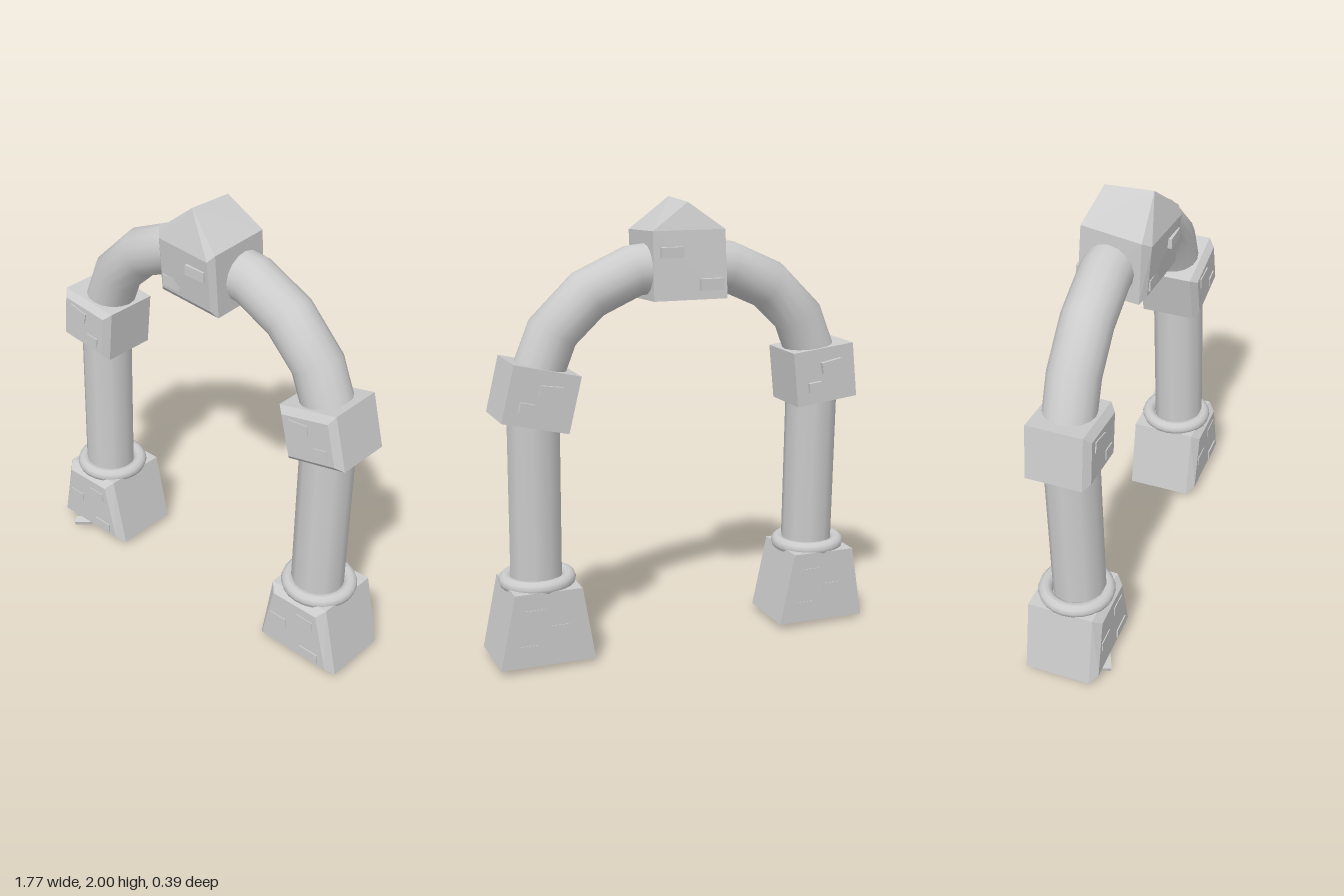
import * as THREE from 'three';
import { ConvexGeometry } from 'three/addons/geometries/ConvexGeometry.js';

const material = new THREE.MeshStandardMaterial({ color: 0xcccccc, side: THREE.DoubleSide });

function add(parent, name, geometry, x = 0, y = 0, z = 0) {
  const mesh = new THREE.Mesh(geometry, material);
  mesh.name = name;
  mesh.position.set(x, y, z);
  parent.add(mesh);
  return mesh;
}

// Carved block: symmetrical trapezoid with a flat back and a bevelled front
function blockGeometry(bottom, top, height, back, front, inset, depth) {
  const h = height / 2;
  const points = [];
  for (const sx of [-1, 1]) for (const [half, sy] of [[bottom, -1], [top, 1]]) {
    points.push(new THREE.Vector3(sx * half, sy * h, back));
    points.push(new THREE.Vector3(sx * half, sy * h, front - depth));
    points.push(new THREE.Vector3(sx * (half - inset), sy * (h - inset), front));
  }
  return new ConvexGeometry(points);
}

// Small raised slabs: [x, y, z, width, height, tilt]
function addSlabs(parent, slabs, thickness = 0.03) {
  for (const [x, y, z, w, h, tilt = 0] of slabs) {
    add(parent, 'stoneSlab', new THREE.BoxGeometry(w, h, thickness), x, y, z).rotation.z = tilt;
  }
}

function createSide(side) {
  const group = new THREE.Group();
  group.name = side > 0 ? 'leftPillar' : 'rightPillar';
  const x = side * 0.67;

  // Tapered foot with nearly flush slabs
  const foot = new THREE.Group();
  foot.name = 'foot';
  foot.position.set(x, 0.188, 0);
  foot.rotation.z = 0.02;
  add(foot, 'footBlock', blockGeometry(0.215, 0.152, 0.335, -0.168, 0.165, 0.032, 0.035));
  addSlabs(foot, [
    [0.06, 0.07, 0.154, 0.09, 0.045], [-0.09, 0, 0.154, 0.09, 0.045], [0.09, -0.1, 0.156, 0.1, 0.045],
    [0.06, 0.07, -0.156, 0.09, 0.045], [-0.05, -0.01, -0.156, 0.09, 0.045], [0.09, -0.09, -0.156, 0.09, 0.045],
  ]);
  group.add(foot);

  // Rounded collar
  const collar = add(group, 'collar', new THREE.TorusGeometry(0.139, 0.032, 10, 24), x, 0.366, -0.003);
  collar.rotation.set(Math.PI / 2, -0.02, 0);

  // Shaft, leaning slightly backward
  const shaft = add(group, 'shaft', new THREE.CylinderGeometry(0.118, 0.118, 0.9, 10), x, 0.78, 0);
  shaft.rotation.set(-0.025, Math.PI / 2, 0, 'XYZ');

  // Turned capital block
  const capital = new THREE.Group();
  capital.name = 'capital';
  capital.position.set(x, 1.196, 0);
  capital.rotation.z = side > 0 ? 0.24 : -0.105;
  add(capital, 'capitalBlock', blockGeometry(0.151, 0.151, 0.25, -0.143, 0.132, 0.028, 0.028));
  addSlabs(capital, [
    [-0.04, 0.05, 0.122, 0.1, 0.05, -0.12], [0.06, -0.05, 0.122, 0.065, 0.045],
    [-0.03, 0.04, -0.146, 0.1, 0.05, -0.08], [0.06, -0.045, -0.146, 0.065, 0.045],
  ]);
  group.add(capital);
  return group;
}

// Pointed keystone: skewed back, front rim, sloping gable and inset front panel
function createKeystone() {
  const group = new THREE.Group();
  group.name = 'keystone';
  const points = [
    [-0.16, 1.58, -0.178], [0.17, 1.58, -0.155], [-0.155, 1.875, -0.16], [0.17, 1.875, -0.14], [0, 1.99, -0.115],
    [-0.178, 1.565, 0.1], [0.168, 1.565, 0.122], [-0.18, 1.855, 0.112], [0.17, 1.86, 0.146], [0, 2, 0.1],
    [-0.148, 1.595, 0.125], [0.146, 1.595, 0.145], [-0.148, 1.832, 0.145], [0.146, 1.832, 0.17],
  ];
  add(group, 'keystoneBlock', new ConvexGeometry(points.map((p) => new THREE.Vector3(...p))));
  addSlabs(group, [
    [0.075, 1.755, 0.155, 0.105, 0.045], [-0.09, 1.64, 0.122, 0.1, 0.05],
    [0.09, 1.785, -0.158, 0.1, 0.045], [-0.085, 1.645, -0.178, 0.105, 0.05],
  ]);
  return group;
}

export function createModel() {
  const model = new THREE.Group();
  model.name = 'stoneArchway';
  model.add(createSide(-1), createSide(1));

  // Faceted round arch between the capitals
  const half = [[0.665, 1.25, -0.02], [0.57, 1.475, -0.023], [0.415, 1.615, -0.028], [0.22, 1.7, -0.033]];
  const path = [
    ...half.map(([x, y, z]) => new THREE.Vector3(-x, y, z)),
    new THREE.Vector3(0, 1.72, -0.035),
    ...half.slice().reverse().map(([x, y, z]) => new THREE.Vector3(x, y, z)),
  ];
  add(model, 'arch', new THREE.TubeGeometry(new THREE.CatmullRomCurve3(path), 8, 0.112, 16));

  model.add(createKeystone());

  // Loose chip at the foot of one pillar
  const chip = add(model, 'looseChip', new THREE.BoxGeometry(0.09, 0.02, 0.04), -0.735, 0.022, 0.155);
  chip.rotation.set(0.3, 0.5, 0.1);
  return model;
}
